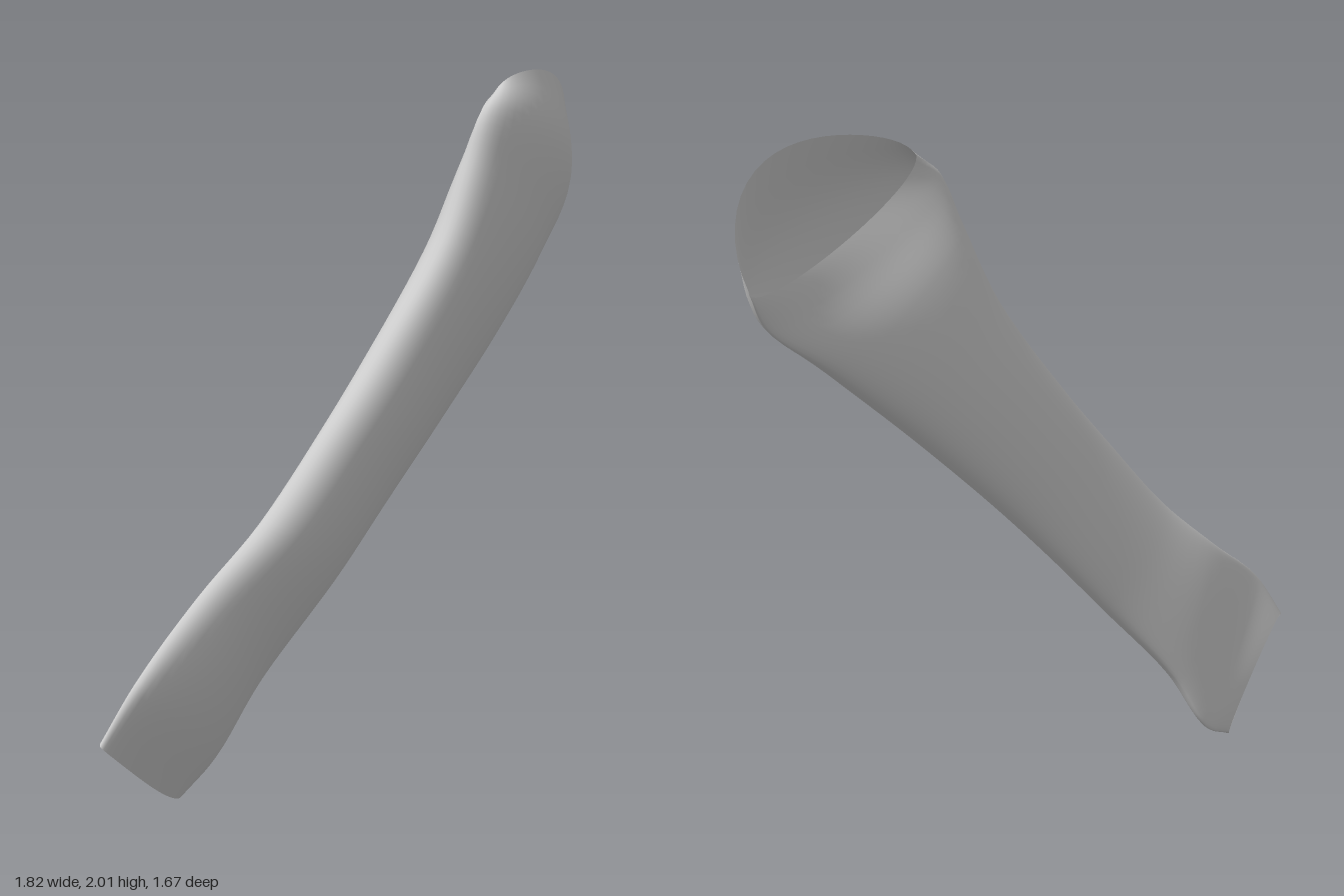
import * as THREE from 'three';

// Cross-sections from the narrow end to the broad end, in the plane of the blade:
// a, b = the two edges (across, up, depth), f / k = front and back bulge,
// fs / ks = how far the front and back walls run past the edge line (across, up)
const sections = [
  { a: [-1.22, 0.28, -0.05], b: [-0.73, 0.0, -0.15], f: 0.035, k: 0.015, fs: [-0.02, -0.03], ks: [0.02, 0.04] },
  { a: [-1.13, 0.43, 0.0], b: [-0.59, 0.06, -0.15], f: 0.08, k: 0.025 },
  { a: [-0.86, 0.6, 0.01], b: [-0.47, 0.25, -0.1], f: 0.105, k: 0.035 },
  { a: [-0.65, 0.77, 0.08], b: [-0.24, 0.5, -0.015], f: 0.125, k: 0.06 },
  { a: [-0.43, 1.0, 0.15], b: [-0.04, 0.7, 0.04], f: 0.125, k: 0.08 },
  { a: [-0.24, 1.2, 0.2], b: [0.18, 0.9, 0.09], f: 0.125, k: 0.1 },
  { a: [0.0, 1.5, 0.27], b: [0.5, 1.15, 0.13], f: 0.125, k: 0.115 },
  { a: [0.11, 1.72, 0.29], b: [0.85, 1.38, 0.115], f: 0.135, k: 0.08 },
  { a: [0.18, 1.87, 0.3], b: [1.12, 1.54, 0.09], f: 0.13, k: 0.035, fs: [0.03, 0.08], ks: [-0.02, -0.06] },
  { a: [0.31, 1.93, 0.28], b: [1.22, 1.65, 0.04], f: 0.06, k: -0.02, fs: [0.08, 0.2], ks: [-0.02, -0.08] },
];

// Point on a flattened oval section; angle 0 is edge a, PI is edge b
function sectionPoint({ a, b, f, k, fs = [0, 0], ks = [0, 0] }, angle) {
  const across = (1 - Math.cos(angle)) / 2;
  const s = Math.sin(angle);
  const front = s > 0;
  const bulge = front ? s : Math.pow(-s, 0.85);
  // The front lip reaches further towards edge b
  const reach = front ? s * (0.6 + 0.8 * across) : bulge;
  const shift = front ? fs : ks;
  const p = new THREE.Vector3(...a).lerp(new THREE.Vector3(...b), across);
  p.x += shift[0] * reach;
  p.y += shift[1] * reach;
  p.z += front ? f * bulge : -k * bulge;
  return p;
}

// Smooth open-ended skin running lengthwise through every section
function shaftGeometry(around, along) {
  const positions = [];
  const index = [];
  for (let j = 0; j < around; j++) {
    const angle = (j / around) * Math.PI * 2;
    const curve = new THREE.CatmullRomCurve3(sections.map((s) => sectionPoint(s, angle)));
    for (let i = 0; i <= along; i++) positions.push(...curve.getPoint(i / along).toArray());
  }
  const row = along + 1;
  for (let j = 0; j < around; j++) {
    const next = (j + 1) % around;
    for (let i = 0; i < along; i++) {
      const p = j * row + i;
      const q = next * row + i;
      index.push(p, q, p + 1, q, q + 1, p + 1);
    }
  }
  const geometry = new THREE.BufferGeometry();
  geometry.setAttribute('position', new THREE.Float32BufferAttribute(positions, 3));
  geometry.setIndex(index);
  geometry.computeVertexNormals();
  return geometry;
}

export function createModel() {
  const group = new THREE.Group();
  group.name = 'bone';
  const material = new THREE.MeshStandardMaterial({ color: 0xcccccc, side: THREE.DoubleSide });
  const shaft = new THREE.Mesh(shaftGeometry(48, 54), material);
  shaft.name = 'boneShaft';
  // The blade lies diagonally between the x and z axes
  shaft.rotation.y = Math.PI / 4;
  group.add(shaft);
  return group;
}
